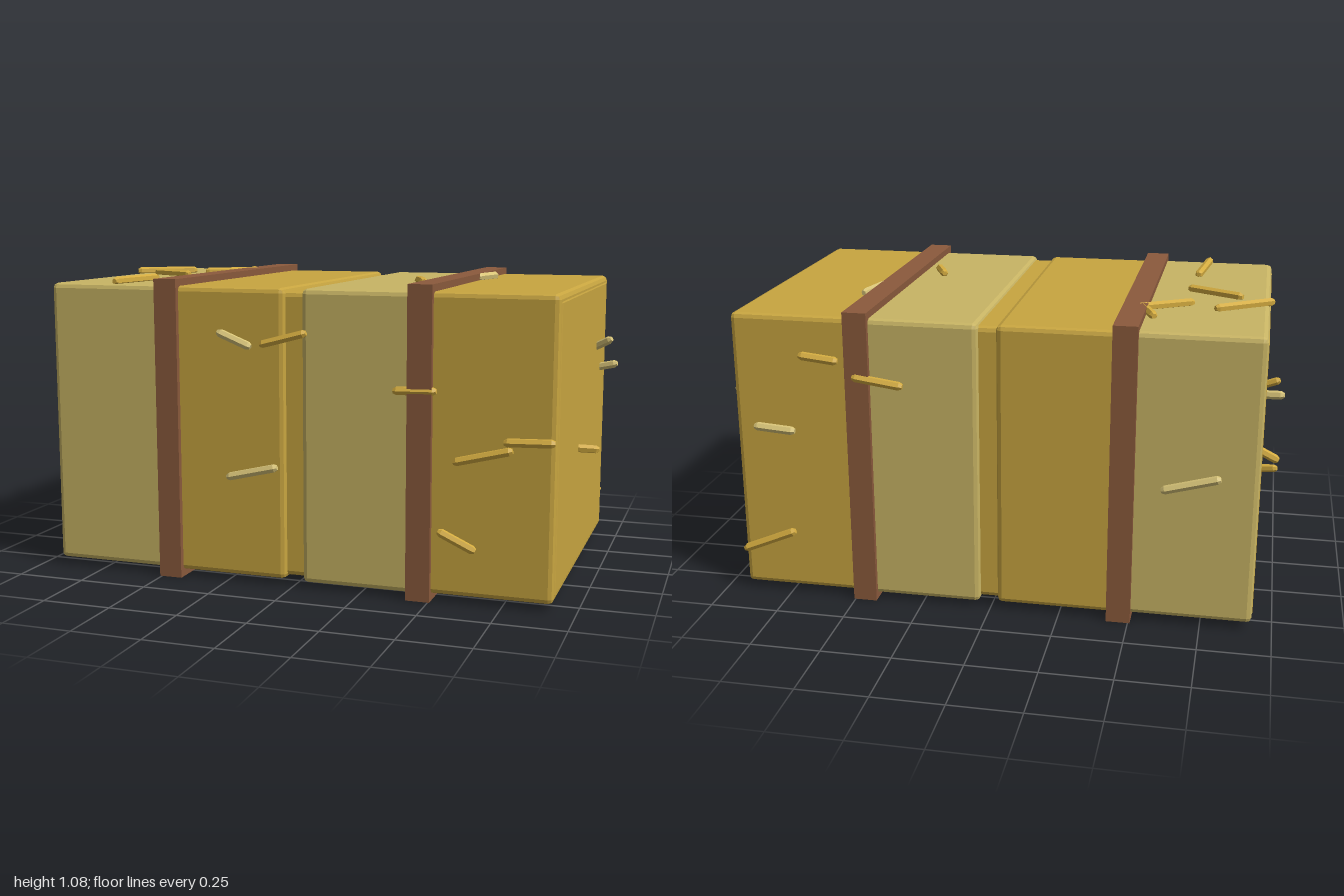
import * as THREE from 'three';
import { RoundedBoxGeometry } from 'three/addons/geometries/RoundedBoxGeometry.js';

const mat = (name, color) => {
  const m = new THREE.MeshStandardMaterial({ color });
  m.name = name;
  return m;
};

// Facets a geometry so every face has its own flat normal
function faceted(geo) {
  const g = geo.index ? geo.toNonIndexed() : geo;
  g.computeVertexNormals();
  return g;
}

export function createModel() {
  const group = new THREE.Group();
  const gold = mat('goldenHay', 0xc8a540);
  const pale = mat('paleHay', 0xc8b464);
  const leather = mat('brownStrap', 0x8b5a3c);
  const straw = mat('goldenStraw', 0xd4ac40);
  const dryStraw = mat('dryStraw', 0xd8c478);

  function add(name, geo, material) {
    const mesh = new THREE.Mesh(geo, material);
    mesh.name = name;
    group.add(mesh);
    return mesh;
  }

  // Box with chamfered edges spanning x0..x1 and y0..y1, centred on z
  function block(name, x0, x1, y0, y1, depth, material) {
    const geo = faceted(new RoundedBoxGeometry(x1 - x0, y1 - y0, depth, 1, 0.018));
    add(name, geo, material).position.set((x0 + x1) / 2, (y0 + y1) / 2, 0);
  }

  // Hay: a core that shows in the middle gap and on both ends, and four slabs
  block('hayCore', -0.931, 0.925, 0.035, 1.043, 1.13, gold);
  block('haySlabRightEnd', -0.929, -0.47, 0.028, 1.057, 1.17, pale);
  block('haySlabRightInner', -0.47, -0.025, 0.025, 1.055, 1.17, gold);
  block('haySlabLeftInner', 0.038, 0.46, 0.02, 1.055, 1.17, pale);
  block('haySlabLeftEnd', 0.46, 0.923, 0.025, 1.055, 1.17, gold);

  // Straps running around the bale
  for (const x of [-0.465, 0.463]) {
    add('strap', new THREE.BoxGeometry(0.085, 1.08, 1.21), leather).position.set(x, 0.54, 0);
  }

  // A straw is a six-sided rod with bevelled ends between two points
  const up = new THREE.Vector3(0, 1, 0);
  function stalk(a, b, material) {
    const from = new THREE.Vector3(...a), to = new THREE.Vector3(...b);
    const dir = to.clone().sub(from), half = dir.length() / 2, r = 0.0155;
    const profile = [[0, -half], [r * 0.6, -half], [r, -half + 0.012], [r, half - 0.012], [r * 0.6, half], [0, half]]
      .map(([x, y]) => new THREE.Vector2(x, y));
    const mesh = add('straw', faceted(new THREE.LatheGeometry(profile, 6)), material);
    mesh.position.copy(from).add(to).multiplyScalar(0.5);
    mesh.quaternion.setFromUnitVectors(up, dir.normalize());
  }

  // Straws lying on the front and back: x, y to x, y
  const front = [
    [-0.27, 0.9, -0.145, 0.85, dryStraw], [-0.11, 0.86, 0.06, 0.905, straw],
    [-0.24, 0.385, -0.05, 0.43, dryStraw], [0.37, 0.722, 0.52, 0.725, straw],
    [0.58, 0.49, 0.78, 0.54, straw], [0.75, 0.567, 0.92, 0.572, straw],
    [0.53, 0.25, 0.66, 0.19, straw],
  ];
  const back = [
    [0.53, 0.903, 0.67, 0.918, straw], [0.7, 0.637, 0.85, 0.648, dryStraw],
    [0.3, 0.825, 0.48, 0.85, straw], [0.72, 0.25, 0.92, 0.165, straw],
    [-0.8, 0.565, -0.6, 0.51, dryStraw],
  ];
  for (const [x0, y0, x1, y1, m] of front) stalk([x0, y0, 0.594], [x1, y1, 0.594], m);
  for (const [x0, y0, x1, y1, m] of back) stalk([x0, y0, -0.6], [x1, y1, -0.6], m);

  // Straws lying on top: x, z to x, z
  const top = [
    [-0.94, -0.11, -0.74, -0.25, straw], [-0.83, -0.06, -0.63, 0.05, straw],
    [-0.66, -0.17, -0.47, -0.285, straw], [-0.54, -0.4, -0.49, -0.27, straw],
    [-0.65, 0.29, -0.68, 0.57, straw], [0.5, -0.1, 0.535, -0.26, dryStraw],
    [0.325, 0.12, 0.375, 0.23, straw],
  ];
  for (const [x0, z0, x1, z1, m] of top) stalk([x0, 1.066, z0], [x1, 1.066, z1], m);

  // Straws poking out of both ends
  const ends = [
    [[0.88, 0.775, -0.335], [0.985, 0.83, -0.28], dryStraw],
    [[0.88, 0.695, -0.425], [0.995, 0.722, -0.4], dryStraw],
    [[0.88, 0.473, 0.115], [0.995, 0.465, 0.08], straw],
    [[-0.88, 0.773, -0.285], [-0.995, 0.78, -0.305], dryStraw],
    [[-0.88, 0.59, 0.375], [-0.99, 0.635, 0.358], straw],
    [[-0.88, 0.585, -0.285], [-0.99, 0.535, -0.3], straw],
    [[-0.88, 0.33, 0.15], [-0.995, 0.35, 0.112], straw],
  ];
  for (const [a, b, m] of ends) stalk(a, b, m);

  return group;
}
